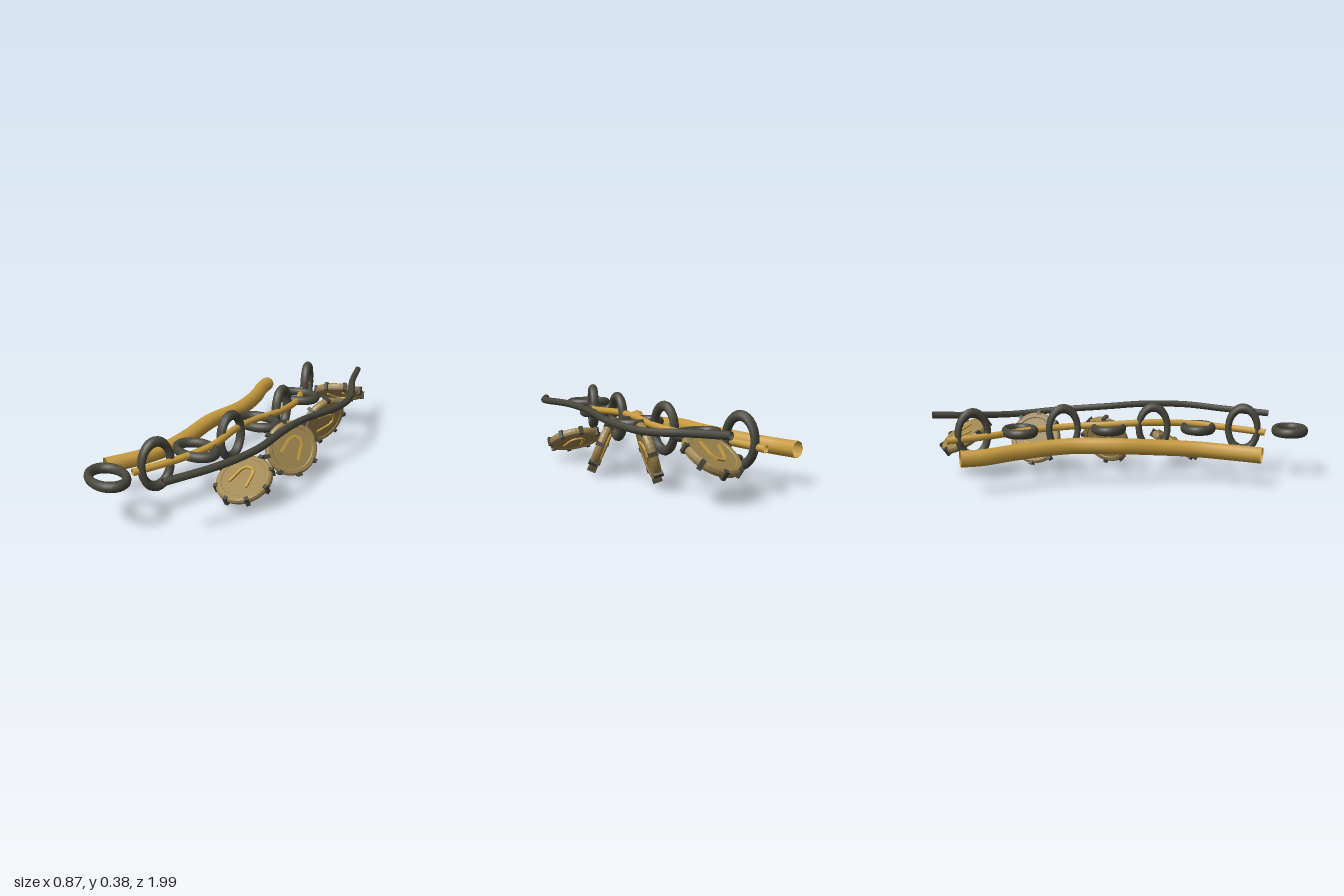
import * as THREE from 'three';

const gold = new THREE.MeshStandardMaterial({ color: 0xc89c3e, side: THREE.DoubleSide });
gold.name = 'gold';
const brass = new THREE.MeshStandardMaterial({ color: 0x9e854f });
brass.name = 'old brass';
const iron = new THREE.MeshStandardMaterial({ color: 0x48473d, side: THREE.DoubleSide });
iron.name = 'dark iron';

function add(parent, name, geometry, material) {
  const mesh = new THREE.Mesh(geometry, material);
  mesh.name = name;
  parent.add(mesh);
  return mesh;
}

// Smooth cord through a few points, open at both ends
function cord(name, points, radius, material) {
  const curve = new THREE.CatmullRomCurve3(points.map((p) => new THREE.Vector3(...p)));
  return new THREE.Mesh(new THREE.TubeGeometry(curve, 56, radius, 8), material).translateX(0).add() && Object.assign(
    new THREE.Mesh(new THREE.TubeGeometry(curve, 56, radius, 8), material), { name });
}

// Raised arch made of five slim bars, lying on a coin face
function archEmblem() {
  const arch = new THREE.Group();
  arch.name = 'archEmblem';
  const pts = [[-0.05, 0.045], [-0.037, -0.035], [-0.017, -0.06], [0.017, -0.06], [0.037, -0.035], [0.05, 0.045]];
  for (let i = 0; i < pts.length - 1; i++) {
    const [x0, z0] = pts[i], [x1, z1] = pts[i + 1];
    const bar = add(arch, 'archBar', new THREE.BoxGeometry(Math.hypot(x1 - x0, z1 - z0) + 0.006, 0.009, 0.012), gold);
    bar.position.set((x0 + x1) / 2, 0.02, (z0 + z1) / 2);
    bar.rotation.y = -Math.atan2(z1 - z0, x1 - x0);
  }
  return arch;
}

// Coin with a raised rounded rim, eight iron clips and an arch on each face
function coin(center, normal, up) {
  const g = new THREE.Group();
  g.name = 'coin';
  const half = [[0.0001, 0.016], [0.108, 0.016], [0.112, 0.02], [0.13, 0.02], [0.139, 0.013], [0.142, 0]];
  const profile = [...half, ...half.slice(0, -1).reverse().map(([r, y]) => [r, -y])]
    .reverse().map(([r, y]) => new THREE.Vector2(r, y));
  // Non-indexed facets keep the steps crisp
  const body = new THREE.LatheGeometry(profile, 40).toNonIndexed();
  body.computeVertexNormals();
  add(g, 'coinBody', body, brass);

  for (let i = 0; i < 8; i++) {
    const a = (i / 8) * Math.PI * 2 - 0.07;
    const clip = add(g, 'rimClip', new THREE.BoxGeometry(0.02, 0.044, 0.022), iron);
    clip.position.set(Math.sin(a) * 0.139, 0, Math.cos(a) * 0.139);
    clip.rotation.y = a;
  }
  const top = archEmblem();
  const bottom = archEmblem();
  bottom.rotation.z = Math.PI;
  g.add(top, bottom);

  // Turn the coin so its axis follows the normal and the arch points along up
  const n = new THREE.Vector3(...normal).normalize();
  const z = new THREE.Vector3(...up).projectOnPlane(n).normalize().negate();
  const x = new THREE.Vector3().crossVectors(n, z);
  g.quaternion.setFromRotationMatrix(new THREE.Matrix4().makeBasis(x, n, z));
  g.position.set(...center);
  return g;
}

// Oval chain link: long across the chain, short along it
function link(x, z, slope, upright) {
  const geometry = new THREE.TorusGeometry(0.11, 0.025, 10, 28);
  geometry.scale(1, 0.7, 1);
  geometry.rotateX(Math.PI / 2);
  if (upright) geometry.rotateZ(Math.PI / 2);
  const mesh = new THREE.Mesh(geometry, iron);
  mesh.name = upright ? 'uprightLink' : 'flatLink';
  mesh.position.set(x, 0.24, z);
  mesh.rotation.y = Math.atan(slope);
  return mesh;
}

export function createModel() {
  const model = new THREE.Group();
  model.name = 'braceletSet';

  // Three winding cords
  model.add(
    cord('thickGoldCord', [[-0.395, 0.175, -0.76], [-0.365, 0.175, -0.66], [-0.285, 0.185, -0.5], [-0.205, 0.197, -0.25],
      [-0.207, 0.195, 0], [-0.175, 0.18, 0.22], [-0.168, 0.17, 0.38], [-0.2, 0.162, 0.52], [-0.275, 0.156, 0.7]], 0.041, gold),
    cord('thinGoldCord', [[-0.14, 0.215, -0.87], [-0.085, 0.225, -0.69], [0.03, 0.237, -0.48], [0.085, 0.25, -0.24],
      [0.072, 0.26, -0.04], [0.085, 0.267, 0.15], [0.12, 0.257, 0.37], [0.085, 0.243, 0.55], [-0.005, 0.225, 0.775]], 0.018, gold),
    cord('darkCord', [[0.115, 0.31, -0.99], [0.19, 0.298, -0.8], [0.31, 0.285, -0.58], [0.363, 0.3, -0.34],
      [0.355, 0.32, -0.05], [0.38, 0.33, 0.16], [0.408, 0.322, 0.4], [0.36, 0.303, 0.61], [0.265, 0.288, 0.855]], 0.018, iron),
  );

  // Chain of alternating links
  const links = [[-0.09, -0.745, 0.42], [-0.005, -0.515, 0.25], [0.05, -0.29, 0.22], [0.07, -0.05, 0],
    [0.085, 0.19, -0.02], [0.07, 0.43, -0.1], [0.035, 0.665, -0.27], [-0.03, 0.9, -0.28]];
  links.forEach(([x, z, slope], i) => model.add(link(x, z, slope, i % 2 === 0)));

  // Four tumbled coins
  model.add(
    coin([0.097, 0.205, -0.815], [-0.25, 0.84, -0.48], [-0.1, 0, -1]),
    coin([0.217, 0.165, -0.45], [0.92, -0.29, 0.26], [0, 0.25, -1]),
    coin([0.28, 0.143, -0.06], [0.79, 0.38, 0.48], [0, 0.8, -0.6]),
    coin([0.282, 0.11, 0.33], [0, 0.88, 0.47], [0, 0, -1]),
  );
  return model;
}
